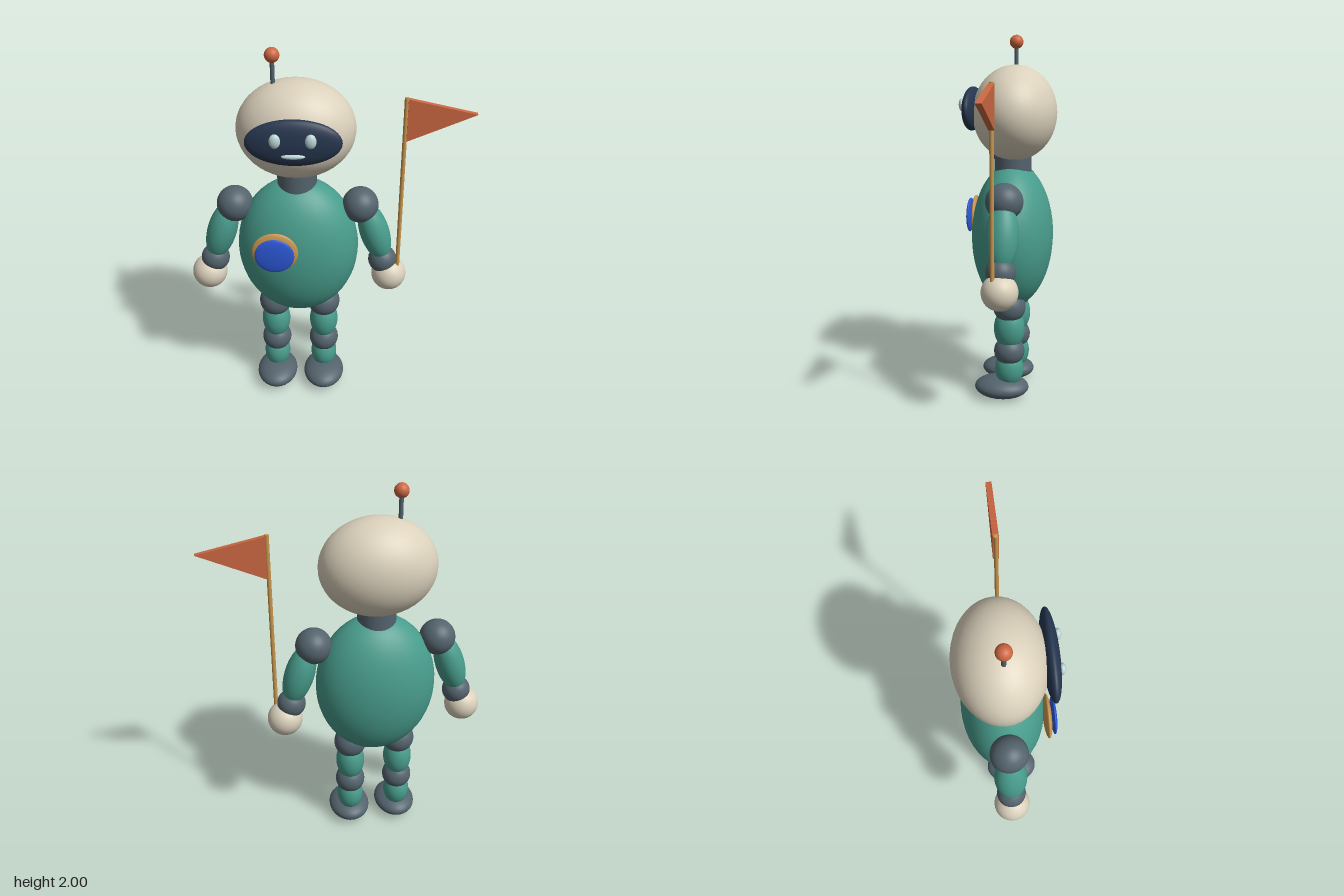
import * as THREE from 'three';

const mat = (name, color) => Object.assign(new THREE.MeshStandardMaterial({ color }), { name });

export function createModel() {
  const teal = mat('teal', 0x489c8c), cream = mat('cream', 0xdad0bb), slate = mat('slate', 0x54636d);
  const navy = mat('navy', 0x26364f), pale = mat('paleGlow', 0xbcd6d8), blue = mat('blue', 0x2c58d6);
  const gold = mat('gold', 0xc8964e), orange = mat('orange', 0xcd6842);

  const root = new THREE.Group();
  root.name = 'robot';
  const cx = -0.15, cz = -0.02; // the robot stands off-centre to leave room for the flag
  const ball = new THREE.SphereGeometry(1, 40, 28);

  const add = (name, geo, material, pos, parent = root) => {
    const m = new THREE.Mesh(geo, material);
    m.name = name;
    m.position.set(...pos);
    parent.add(m);
    return m;
  };
  const blob = (name, material, pos, radii, parent) => {
    const m = add(name, ball, material, pos, parent);
    m.scale.set(...radii);
    return m;
  };
  const rod = (name, material, x, z, y0, y1, r) =>
    add(name, new THREE.CylinderGeometry(r, r, y1 - y0, 24), material, [x, (y0 + y1) / 2, z]);

  // Torso, neck and head
  blob('torso', teal, [cx, 0.915, cz], [0.325, 0.405, 0.224]);
  rod('neck', slate, cx, cz, 1.25, 1.4, 0.103);
  blob('head', cream, [cx, 1.59, -0.031], [0.303, 0.255, 0.227]);

  // Face
  blob('visor', navy, [cx, 1.612, 0.2], [0.234, 0.118, 0.043]);
  for (const s of [-1, 1]) blob('eye', pale, [cx + s * 0.085, 1.637, 0.242], [0.027, 0.036, 0.018]);
  blob('mouth', pale, [cx, 1.557, 0.237], [0.058, 0.013, 0.015]);

  // Antenna
  rod('antennaStem', slate, -0.258, -0.024, 1.78, 1.95, 0.011);
  blob('antennaTip', orange, [-0.258, 1.965, -0.024], [0.037, 0.037, 0.037]);

  // Chest badge
  blob('badgeRim', gold, [-0.258, 1.0, 0.207], [0.12, 0.114, 0.022]);
  blob('badgeCentre', blue, [-0.258, 1.0, 0.24], [0.102, 0.097, 0.016]);

  // Arms and legs, mirrored about the torso
  for (const s of [-1, 1]) {
    const side = s > 0 ? 'left' : 'right';
    const arm = new THREE.Group();
    arm.name = side + 'Arm';
    arm.position.set(cx, 0, cz);
    root.add(arm);
    blob('shoulder', slate, [s * 0.332, 1.165, 0], [0.096, 0.096, 0.098], arm);
    blob('forearm', teal, [s * 0.412, 1.0, 0], [0.079, 0.178, 0.085], arm).rotation.z = s * 0.31;
    blob('wrist', slate, [s * 0.46, 0.827, 0], [0.077, 0.077, 0.077], arm);
    blob('hand', cream, [s * 0.498, 0.735, 0], [0.095, 0.095, 0.095], arm);

    const leg = new THREE.Group();
    leg.name = side + 'Leg';
    leg.position.set(cx + s * 0.1375, 0, cz);
    root.add(leg);
    blob('hip', slate, [0, 0.54, 0], [0.09, 0.09, 0.09], leg);
    blob('thigh', teal, [0, 0.413, 0], [0.08, 0.122, 0.086], leg);
    blob('knee', slate, [0, 0.28, 0], [0.083, 0.083, 0.085], leg);
    blob('calf', teal, [0, 0.175, 0], [0.074, 0.105, 0.08], leg);
    blob('foot', slate, [0, 0.064, 0.043], [0.116, 0.062, 0.152], leg);
  }

  // Flag on its pole, held in the left hand
  rod('flagPole', gold, 0.392, 0.01, 0.8, 1.77, 0.011);
  const pennant = new THREE.Shape([[0.4, 1.545], [0.742, 1.69], [0.4, 1.765]].map(p => new THREE.Vector2(...p)));
  add('pennant', new THREE.ExtrudeGeometry(pennant, { depth: 0.03, bevelEnabled: false }), orange, [0, 0, -0.006]);

  return root;
}
